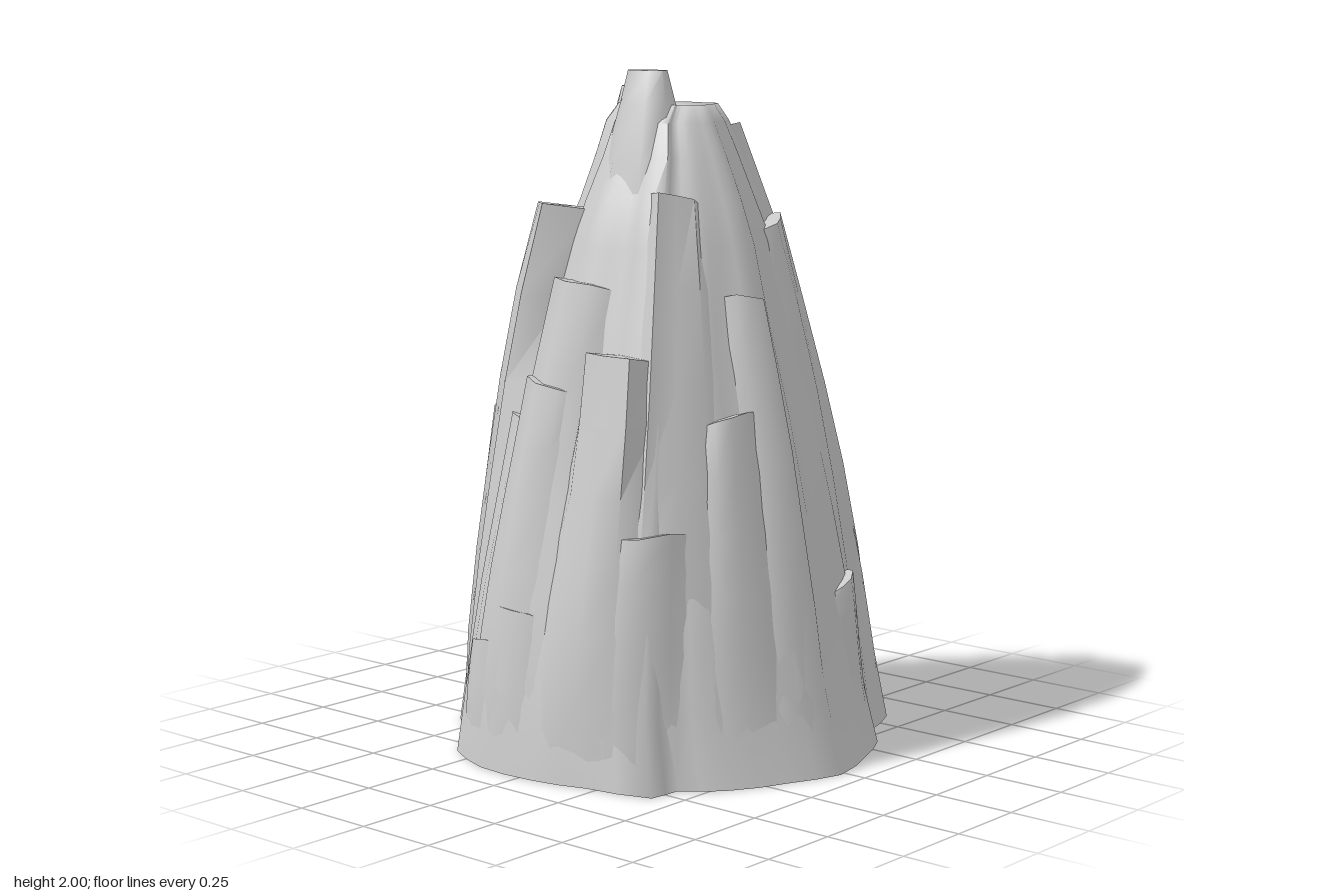
import * as THREE from 'three';
import { toCreasedNormals } from 'three/addons/utils/BufferGeometryUtils.js';

const material = new THREE.MeshStandardMaterial({ color: 0xcccccc });
const TAU = Math.PI * 2;

// Base outline, [x, z], running from +x towards +z
const outline = [
  [0.68, 0.02], [0.62, 0.18], [0.53, 0.36], [0.43, 0.45], [0.42, 0.55], [0.22, 0.6], [0.04, 0.645],
  [-0.16, 0.645], [-0.33, 0.57], [-0.43, 0.41], [-0.58, 0.31], [-0.63, 0.17], [-0.68, 0.02],
  [-0.6, -0.18], [-0.5, -0.35], [-0.4, -0.47], [-0.38, -0.56], [-0.23, -0.62], [0, -0.63],
  [0.05, -0.62], [0.14, -0.65], [0.4, -0.58], [0.46, -0.42], [0.55, -0.33], [0.62, -0.18],
].map(([x, z]) => ({ a: (Math.atan2(z, x) + TAU) % TAU, r: Math.hypot(x, z) }));

// Extents of the core by height: y, -x, +x, -z, +z
const levels = [
  [0, 0.68, 0.68, 0.65, 0.65],
  [0.2, 0.65, 0.61, 0.63, 0.625],
  [0.45, 0.605, 0.56, 0.595, 0.575],
  [0.7, 0.56, 0.5, 0.555, 0.5],
  [1.0, 0.5, 0.43, 0.48, 0.41],
  [1.25, 0.43, 0.36, 0.41, 0.34],
  [1.5, 0.34, 0.3, 0.34, 0.27],
  [1.62, 0.28, 0.26, 0.28, 0.235],
  [1.75, 0.24, 0.205, 0.235, 0.17],
  [1.85, 0.21, 0.16, 0.195, 0.13],
  [1.9, 0.18, 0.13, 0.16, 0.07],
];

function baseRadius(angle) {
  const a = ((angle % TAU) + TAU) % TAU;
  const n = outline.length;
  for (let i = 0; i < n; i++) {
    const p = outline[i], q = outline[(i + 1) % n];
    const span = (q.a - p.a + TAU) % TAU, off = (a - p.a + TAU) % TAU;
    if (off <= span) return THREE.MathUtils.lerp(p.r, q.r, off / span);
  }
  return 0.65;
}

// Point on the fluted core surface, moved outwards by push
function surface(angle, y, push = 0) {
  let k = 0;
  while (k < levels.length - 2 && levels[k + 1][0] < y) k++;
  const lo = levels[k], hi = levels[k + 1];
  const t = THREE.MathUtils.clamp((y - lo[0]) / (hi[0] - lo[0]), 0, 1);
  const e = lo.map((v, i) => THREE.MathUtils.lerp(v, hi[i], t));
  const flute = 1 + 0.022 * Math.min(1, y) * (Math.sin(7 * angle + 1) + Math.sin(11 * angle + 1.5 * y));
  const r = baseRadius(angle) * flute;
  const c = Math.cos(angle), s = Math.sin(angle);
  return [
    c * (r * (c > 0 ? e[2] : e[1]) / 0.68 + push), y,
    s * (r * (s > 0 ? e[4] : e[3]) / 0.65 + push),
  ];
}

// Closed solid through equal-length rings, bottom to top
function loft(name, rings) {
  const n = rings[0].length, index = [];
  const pts = rings.flat();
  const centre = (ring) => [0, 1, 2].map((k) => ring.reduce((sum, p) => sum + p[k], 0) / n);
  for (let j = 0; j < rings.length - 1; j++) {
    for (let i = 0; i < n; i++) {
      const a = j * n + i, b = j * n + (i + 1) % n;
      index.push(a, a + n, b, b, a + n, b + n);
    }
  }
  const last = (rings.length - 1) * n, bottom = pts.length, top = bottom + 1;
  pts.push(centre(rings[0]), centre(rings[rings.length - 1]));
  for (let i = 0; i < n; i++) {
    const k = (i + 1) % n;
    index.push(bottom, i, k, top, last + k, last + i);
  }
  const geo = new THREE.BufferGeometry();
  geo.setAttribute('position', new THREE.Float32BufferAttribute(pts.flat(), 3));
  geo.setIndex(index);
  const mesh = new THREE.Mesh(toCreasedNormals(geo, 1.1), material);
  mesh.name = name;
  return mesh;
}

// Slab clinging to the core: it emerges from the wall and ends in a ledge
function slab(deg, halfDeg, top, depth) {
  const a = THREE.MathUtils.degToRad(deg), w = THREE.MathUtils.degToRad(halfDeg);
  // Angle across, inset, share of depth
  const section = [
    [-1.25, -0.015, 0], [-0.65, 0, 0.9], [0, 0, 1.05], [0.6, 0, 0.95],
    [1.2, -0.015, 0], [0.6, -0.13, 0], [-0.6, -0.13, 0],
  ];
  const rings = [];
  for (let j = 0; j <= 6; j++) {
    const y = THREE.MathUtils.lerp(0.03, top, j / 6);
    const out = depth * Math.pow(j / 6, 0.9);
    rings.push(section.map(([u, inset, d]) => {
      const p = surface(a + u * w, y, inset + d * out - 0.008 * (1 - j / 6));
      if (j === 6) p[1] += 0.02 * u * Math.sin(deg) - (d ? 0 : 0.02);
      return p;
    }));
  }
  return loft('ledgeSlab', rings);
}

// Small summit block from [y, x, z, radiusX, radiusZ] sections
function peak(name, sections) {
  return loft(name, sections.map(([y, x, z, rx, rz]) => Array.from({ length: 8 }, (_, i) => {
    const a = ((i + 0.35) / 8) * TAU;
    return [x + rx * Math.cos(a) * 1.05, y, z + rz * Math.sin(a) * 1.05];
  })));
}

export function createModel() {
  const group = new THREE.Group();
  group.name = 'rockSpire';

  // Core, with its corners on those of the base outline
  const angles = outline.flatMap((p, i) => {
    const span = (outline[(i + 1) % outline.length].a - p.a + TAU) % TAU;
    return [p.a, p.a + span / 2];
  });
  group.add(loft('core', levels.map(([y]) => angles.map((a) => surface(a, y)))));

  // Summit
  group.add(peak('mainPeak', [
    [1.5, 0, 0.1, 0.17, 0.15], [1.74, -0.01, 0.09, 0.12, 0.1],
    [1.9, -0.01, 0.075, 0.085, 0.07], [2, -0.015, 0.07, 0.066, 0.036],
  ]));
  group.add(peak('sidePeak', [
    [1.5, -0.16, -0.08, 0.15, 0.15], [1.72, -0.155, -0.08, 0.1, 0.13],
    [1.9, -0.145, -0.07, 0.075, 0.1], [1.95, -0.155, -0.065, 0.05, 0.075],
  ]));

  // Ledges: angle from +x towards +z, half width, top height, depth
  const ledges = [
    [72, 15, 1.21, 0.11], [101, 18, 1.4, 0.05], [102, 13, 1.11, 0.06], [122, 10, 1.0, 0.04],
    [56, 15, 0.71, 0.05], [97, 8, 0.47, 0.02], [111, 8, 0.36, 0.02], [138, 18, 1.61, 0.14],
    [146, 10, 0.85, 0.04], [153, 13, 0.98, 0.07], [24, 12, 1.03, 0.045], [7, 11, 1.36, 0.025],
    [45, 18, 1.65, 0.035], [-46, 17, 1.56, 0.045], [-27, 9, 0.5, 0.025], [-90, 12, 0.77, 0.02],
    [-88, 18, 1.61, 0.07], [-80, 32, 1.83, 0.035], [224, 28, 1.6, 0.07], [212, 11, 0.96, 0.06],
    [182, 12, 0.98, 0.02],
  ];
  for (const l of ledges) group.add(slab(...l));
  return group;
}
